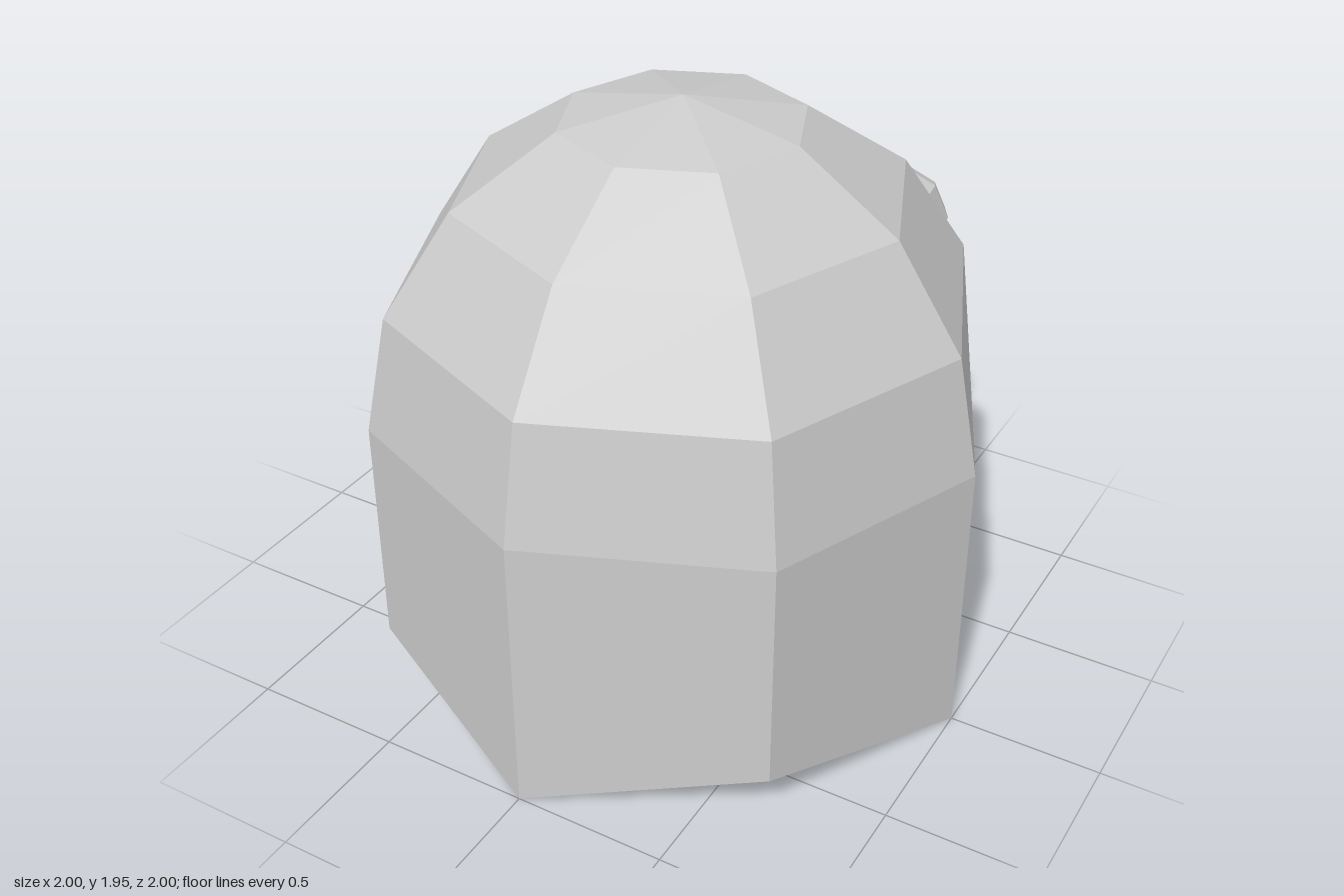
import * as THREE from 'three';

const SIDES = 8;
const material = new THREE.MeshStandardMaterial({ color: 0xcccccc, flatShading: true, side: THREE.DoubleSide });

// Point on the octagon: k = 0 is the front, 2 the left side, 4 the back
function corner(k, radius, y) {
  const a = (k % SIDES) * Math.PI * 2 / SIDES;
  return [Math.sin(a) * radius, y, Math.cos(a) * radius];
}

// Faceted mesh from a list of triangles
function facets(name, triangles) {
  const geometry = new THREE.BufferGeometry();
  geometry.setAttribute('position', new THREE.Float32BufferAttribute(triangles.flat(2), 3));
  geometry.computeVertexNormals();
  const mesh = new THREE.Mesh(geometry, material);
  mesh.name = name;
  return mesh;
}

// Skin between two rings of corners, split symmetrically about the middle
function band(lower, upper, first = 0, last = SIDES) {
  const triangles = [];
  for (let k = first; k < last; k++) {
    const a = lower(k), b = lower(k + 1), c = upper(k + 1), d = upper(k);
    if (k < SIDES / 2) triangles.push([a, b, c], [a, c, d]);
    else triangles.push([a, b, d], [b, c, d]);
  }
  return triangles;
}

export function createModel() {
  const group = new THREE.Group();

  // Rings: zigzag hem, the two lips, and the shoulder line that dips to the upper lip
  const hem = k => corner(k, 1, k % 2 ? 0.17 : 0);
  const lowerLip = k => corner(k, 1, k === 4 ? 0.435 : 0.59);
  const shoulder = k => corner(k, 1, k === 4 ? 0.85 : k === 3 || k === 5 ? 0.76 : 0.95);
  const domeRing = step => k => {
    const a = step * Math.PI / 8;
    return corner(k, Math.cos(a), 0.95 + Math.sin(a));
  };

  // Open-bottomed skirt, cut away above the lower lip
  group.add(facets('skirt', [
    ...band(hem, shoulder, 0, 3),
    ...band(hem, lowerLip, 3, 5),
    ...band(hem, shoulder, 5, 8),
  ]));

  // Dome of four rows closing at the top
  const dome = band(shoulder, domeRing(1));
  dome.push(...band(domeRing(1), domeRing(2)), ...band(domeRing(2), domeRing(3)));
  for (let k = 0; k < SIDES; k++) dome.push([domeRing(3)(k), domeRing(3)(k + 1), [0, 1.95, 0]]);
  group.add(facets('dome', dome));

  // Mouth cavity: floor, roof and cheeks running in to one point
  const throat = [0, 0.71, 0];
  const mouth = [];
  for (const k of [3, 4]) {
    mouth.push([lowerLip(k), lowerLip(k + 1), throat]);
    mouth.push([shoulder(k + 1), shoulder(k), throat]);
  }
  mouth.push([shoulder(3), lowerLip(3), throat], [lowerLip(5), shoulder(5), throat]);
  group.add(facets('mouth', mouth));

  // Eyes half sunk in the face, poles pointing out of the back
  for (const side of [1, -1]) {
    const eye = new THREE.Mesh(new THREE.SphereGeometry(0.172, 8, 8), material);
    eye.name = side > 0 ? 'leftEye' : 'rightEye';
    eye.position.set(side * 0.365, 1.31, -0.765);
    eye.rotation.x = -Math.PI / 2 + 0.15;
    group.add(eye);
  }
  return group;
}
